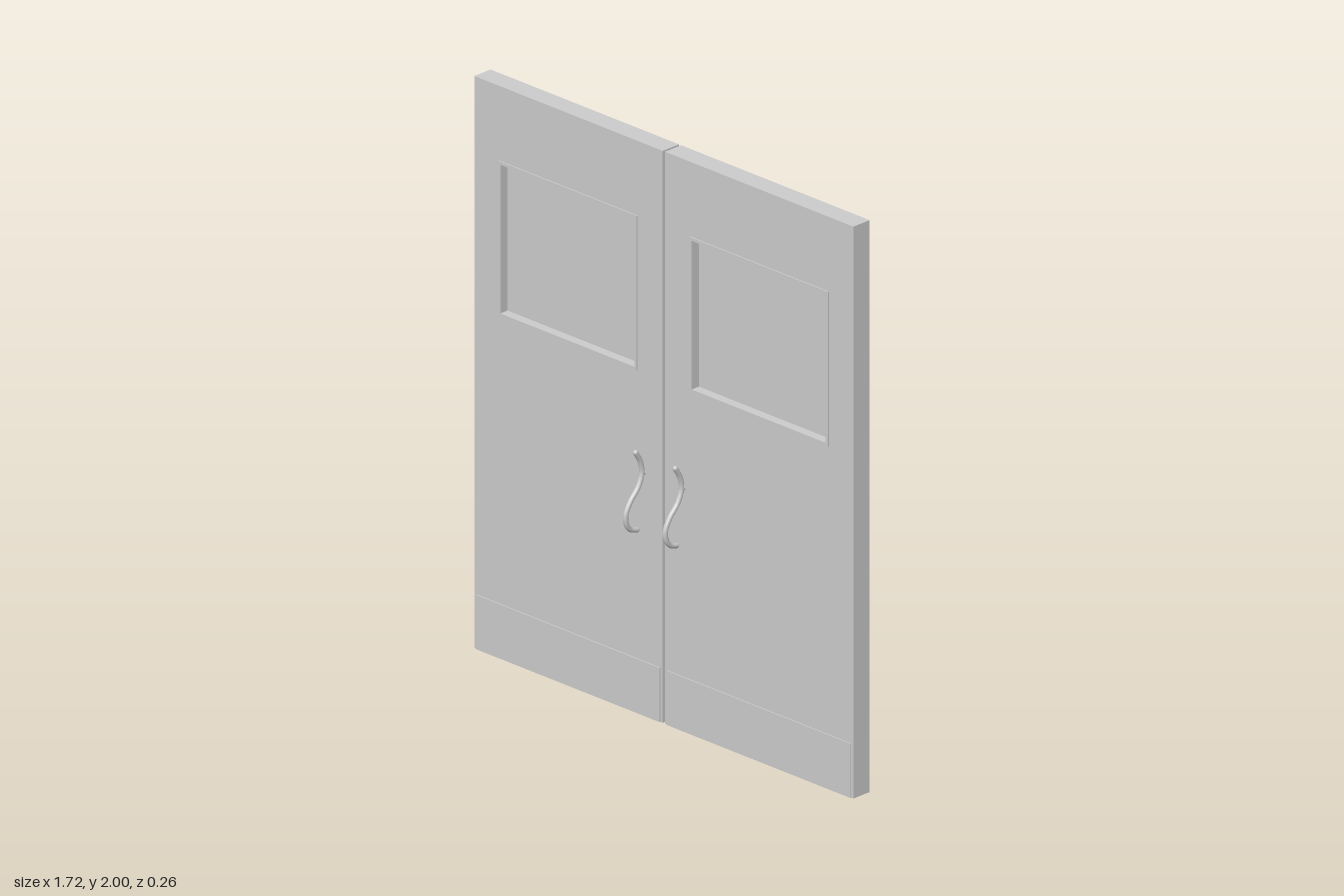
import * as THREE from 'three';

const mat = new THREE.MeshStandardMaterial({ color: 0xcccccc, roughness: 0.7 });

// Door edges, window opening and depths
const DOOR = { x0: 0.005, x1: 0.86, y0: 0, y1: 2 };
const WINDOW = { x0: 0.13, x1: 0.738, y0: 1.208, y1: 1.728 };
const HALF = 0.037, PROUD = 0.004;

function add(parent, name, geometry, x = 0, y = 0, z = 0) {
  const mesh = new THREE.Mesh(geometry, mat);
  mesh.name = name;
  mesh.position.set(x, y, z);
  parent.add(mesh);
  return mesh;
}

function trace(path, { x0, x1, y0, y1 }) {
  path.moveTo(x0, y0);
  path.lineTo(x1, y0);
  path.lineTo(x1, y1);
  path.lineTo(x0, y1);
  path.closePath();
  return path;
}

// Rectangular plate with a rectangular hole
function framed(outer, hole, depth) {
  const shape = trace(new THREE.Shape(), outer);
  shape.holes.push(trace(new THREE.Path(), hole));
  return new THREE.ExtrudeGeometry(shape, { depth, bevelEnabled: false });
}

// S-shaped pull bar, curving outward at the lower end
function handleGeometry(side) {
  const points = [
    [0.075, 0.93], [0.055, 0.895], [0.047, 0.85], [0.065, 0.805], [0.1, 0.765],
    [0.12, 0.725], [0.116, 0.69], [0.098, 0.668], [0.07, 0.659],
  ].map(([z, y]) => new THREE.Vector3(0, y, z * side));
  return new THREE.TubeGeometry(new THREE.CatmullRomCurve3(points), 40, 0.009, 12, false);
}

function createLeaf(side) {
  const leaf = new THREE.Group();
  leaf.name = side > 0 ? 'leftDoor' : 'rightDoor';
  const mirror = (r) => (side > 0 ? r : { ...r, x0: -r.x1, x1: -r.x0 });
  const opening = mirror(WINDOW);
  const midX = side * (WINDOW.x0 + WINDOW.x1) / 2;
  const midY = (WINDOW.y0 + WINDOW.y1) / 2;

  // Slab and recessed pane
  add(leaf, 'slab', framed(mirror(DOOR), opening, 2 * HALF), 0, 0, -HALF);
  add(leaf, 'windowPane', new THREE.BoxGeometry(0.612, 0.524, 0.016), midX, midY, 0);

  for (const face of [1, -1]) {
    const suffix = face > 0 ? 'Front' : 'Back';

    // Slim raised trim around the window
    const rim = mirror({ x0: WINDOW.x0 - 0.011, x1: WINDOW.x1 + 0.011, y0: WINDOW.y0 - 0.011, y1: WINDOW.y1 + 0.011 });
    add(leaf, 'windowTrim' + suffix, framed(rim, opening, PROUD), 0, 0, face > 0 ? HALF : -HALF - PROUD);

    // Kick plate
    add(leaf, 'kickPlate' + suffix, new THREE.BoxGeometry(0.835, 0.19, PROUD),
      side * 0.4325, 0.095, face * (HALF + PROUD / 2));

    // Pull handle with rounded ends and a small mounting post
    const handle = new THREE.Group();
    handle.name = 'handle' + suffix;
    handle.position.x = side * 0.09;
    add(handle, 'bar', handleGeometry(face));
    for (const [z, y] of [[0.075, 0.93], [0.07, 0.659]])
      add(handle, 'barEnd', new THREE.SphereGeometry(0.009, 12, 8), 0, y, z * face);
    const post = add(handle, 'mountingPost', new THREE.CylinderGeometry(0.008, 0.008, 0.014, 12), 0, 0.85, face * 0.04);
    post.rotation.x = Math.PI / 2;
    leaf.add(handle);
  }
  return leaf;
}

export function createModel() {
  const model = new THREE.Group();
  model.name = 'doubleDoor';
  model.add(createLeaf(1), createLeaf(-1));
  // Latch bridging the gap between the leaves
  add(model, 'latch', new THREE.BoxGeometry(0.016, 0.115, 0.04), 0, 0.795, 0);
  return model;
}
